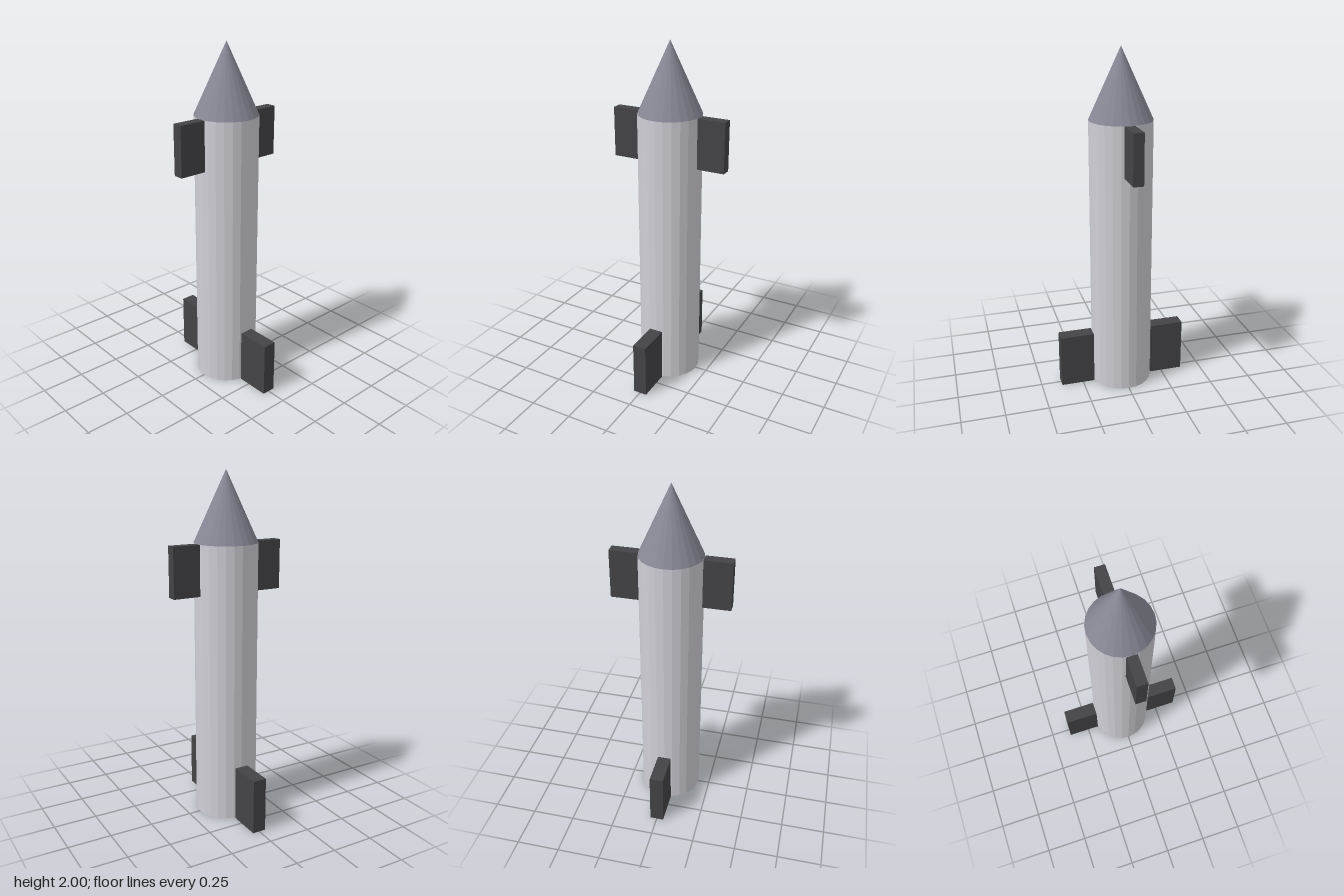
import * as THREE from 'three';

const RADIUS = 0.18, SIDES = 24, SHOULDER = 1.605;

function material(name, color) {
  const m = new THREE.MeshStandardMaterial({ color, flatShading: true });
  m.name = name;
  return m;
}

export function createModel() {
  const group = new THREE.Group();
  group.name = 'rocket';
  const bodyGrey = material('bodyGrey', 0xcfcfd6);
  const noseGrey = material('noseGrey', 0x888896);
  const finDark = material('finDark', 0x444448);
  const baseGrey = material('baseGrey', 0x888888);

  function add(name, geometry, mat, x, y, z) {
    const mesh = new THREE.Mesh(geometry, mat);
    mesh.name = name;
    mesh.position.set(x, y, z);
    group.add(mesh);
  }

  // Body tube: side, top and bottom faces take one material each
  add('body', new THREE.CylinderGeometry(RADIUS, RADIUS, SHOULDER, SIDES),
    [bodyGrey, bodyGrey, baseGrey], 0, SHOULDER / 2, 0);

  // Nose cone
  const noseHeight = 2 - SHOULDER;
  add('noseCone', new THREE.ConeGeometry(RADIUS, noseHeight, SIDES, 1, true),
    noseGrey, 0, SHOULDER + noseHeight / 2, 0);

  // Upper fins on the sides, tail fins at front and back
  for (const s of [1, -1]) {
    add(s > 0 ? 'upperFinLeft' : 'upperFinRight',
      new THREE.BoxGeometry(0.16, 0.285, 0.06), finDark, s * 0.26, 1.4625, 0);
    add(s > 0 ? 'tailFinFront' : 'tailFinBack',
      new THREE.BoxGeometry(0.08, 0.32, 0.2), finDark, 0, 0.16, s * 0.28);
  }
  return group;
}
